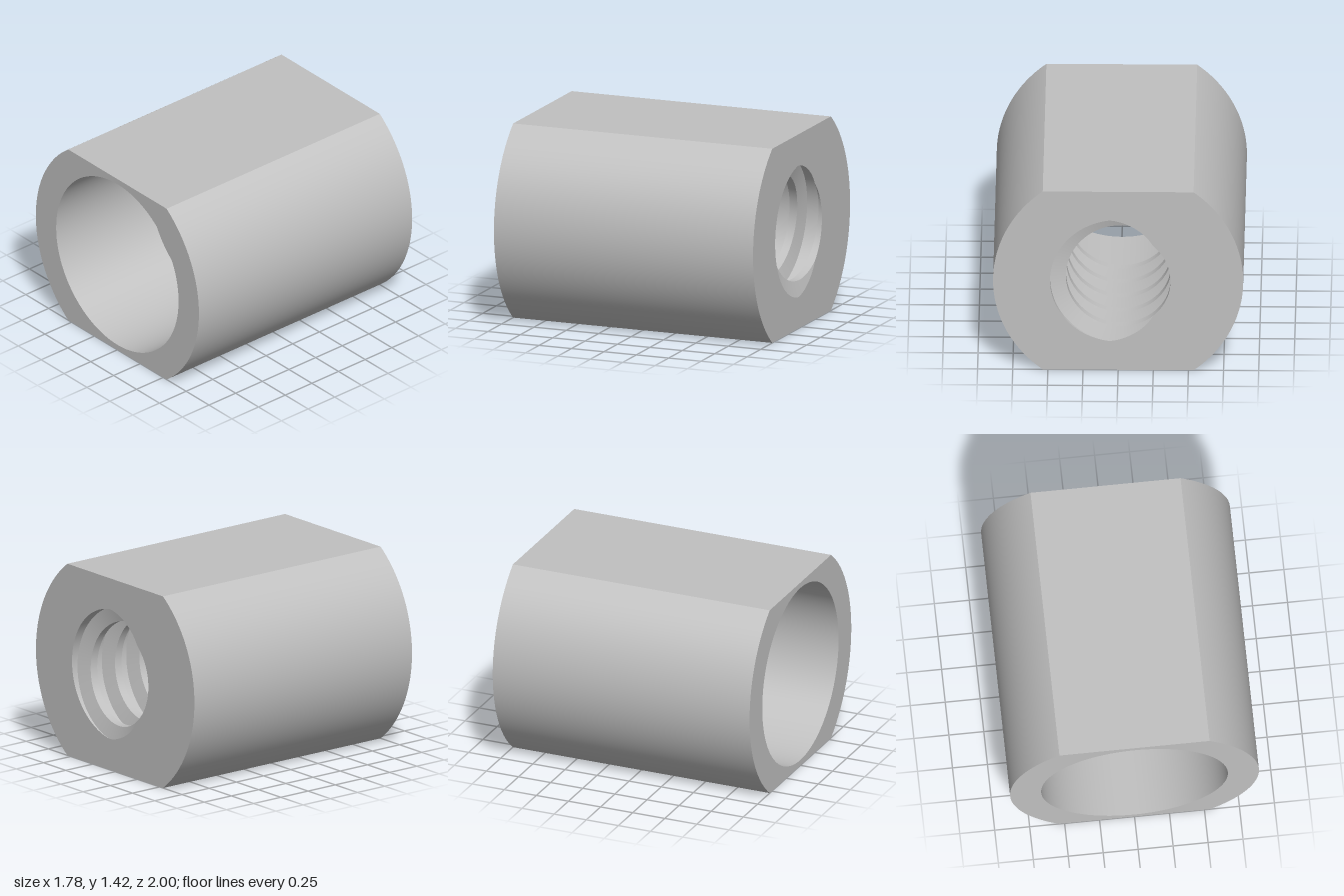
import * as THREE from 'three';

const R = 0.89;        // outer radius
const H = 0.71;        // half height across the flats
const BORE = 0.668;    // front counterbore radius
const MAJOR = 0.485;   // thread root radius
const MINOR = 0.373;   // thread crest radius
const FLOOR = 0.12;    // z of the counterbore floor
const TURNS = 5;
const PITCH = (FLOOR + 1) / TURNS;
const CREST = 0.03;    // half width of the tooth tip
const BASE = 0.06;     // half width of the tooth root

export function createModel() {
  const model = new THREE.Group();
  model.name = 'threadedSleeve';
  const body = new THREE.Group();
  body.name = 'sleeve';
  body.position.y = H;
  model.add(body);

  const steel = new THREE.MeshStandardMaterial({ color: 0xc0c0c0 });
  steel.name = 'steel grey';
  const add = (name, geometry) => {
    const mesh = new THREE.Mesh(geometry, steel);
    mesh.name = name;
    body.add(mesh);
    return mesh;
  };

  // Round sides and the two flats
  const half = Math.asin(H / R);
  const flat = 2 * Math.sqrt(R * R - H * H);
  for (const [side, mid, flatName, turn] of [
    ['leftSide', Math.PI / 2, 'topFlat', -1],
    ['rightSide', Math.PI * 1.5, 'bottomFlat', 1],
  ]) {
    add(side, new THREE.CylinderGeometry(R, R, 2, 48, 1, true, mid - half, 2 * half).rotateX(Math.PI / 2));
    add(flatName, new THREE.PlaneGeometry(flat, 2).rotateX(turn * Math.PI / 2).translate(0, -turn * H, 0));
  }

  // End faces with round openings
  const endFace = (hole) => {
    const shape = new THREE.Shape();
    shape.absarc(0, 0, R, -half, half, false);
    shape.absarc(0, 0, R, Math.PI - half, Math.PI + half, false);
    shape.closePath();
    shape.holes.push(new THREE.Path().absarc(0, 0, hole, 0, Math.PI * 2, true));
    return new THREE.ShapeGeometry(shape, 48);
  };
  add('frontFace', endFace(BORE).translate(0, 0, 1));
  add('backFace', endFace(MAJOR).rotateY(Math.PI).translate(0, 0, -1));

  // Counterbore wall, its floor, and the thread root
  const ring = (name, r1, z1, r2, z2) => add(name, new THREE.LatheGeometry(
    [new THREE.Vector2(r1, z1), new THREE.Vector2(r2, z2)], 96).rotateX(Math.PI / 2));
  ring('counterboreWall', BORE, 1, BORE, FLOOR);
  ring('counterboreFloor', BORE, FLOOR, MAJOR, FLOOR);
  ring('threadRoot', MAJOR, FLOOR, MAJOR, -1);

  add('threadTooth', threadGeometry());
  return model;
}

// Trapezoid tooth on a right-hand helix, trimmed flush with both ends
function threadGeometry() {
  const perTurn = 96;
  const steps = Math.ceil((TURNS + 0.5) * perTurn);
  const section = (j) => {
    const angle = Math.PI - (j / perTurn) * Math.PI * 2;
    const centre = FLOOR - (j / perTurn) * PITCH;
    const pts = [BASE, CREST, -CREST, -BASE].map((dz) => {
      const z = THREE.MathUtils.clamp(centre + dz, -1, FLOOR);
      const t = THREE.MathUtils.clamp((BASE - Math.abs(z - centre)) / (BASE - CREST), 0, 1);
      return [MAJOR + (MINOR - MAJOR) * t, z];
    });
    const profile = [[MAJOR, pts[0][1]], ...pts, [MAJOR, pts[3][1]]];
    return profile.map(([r, z]) => [r * Math.cos(angle), r * Math.sin(angle), z]);
  };
  const sections = Array.from({ length: steps + 1 }, (_, j) => section(j));

  const positions = [], index = [];
  // One strip per side of the tooth, so its edges stay sharp
  for (let i = 0; i < 5; i++) {
    const start = positions.length / 3;
    sections.forEach((s) => positions.push(...s[i], ...s[i + 1]));
    for (let j = 0; j < steps; j++) {
      const a = start + 2 * j;
      index.push(a, a + 1, a + 2, a + 1, a + 3, a + 2);
    }
  }
  // Flat end where the tooth begins
  const cap = positions.length / 3;
  sections[0].forEach((p) => positions.push(...p));
  for (let i = 1; i < 5; i++) index.push(cap, cap + i + 1, cap + i);

  const geometry = new THREE.BufferGeometry();
  geometry.setAttribute('position', new THREE.Float32BufferAttribute(positions, 3));
  geometry.setIndex(index);
  geometry.computeVertexNormals();
  return geometry;
}
